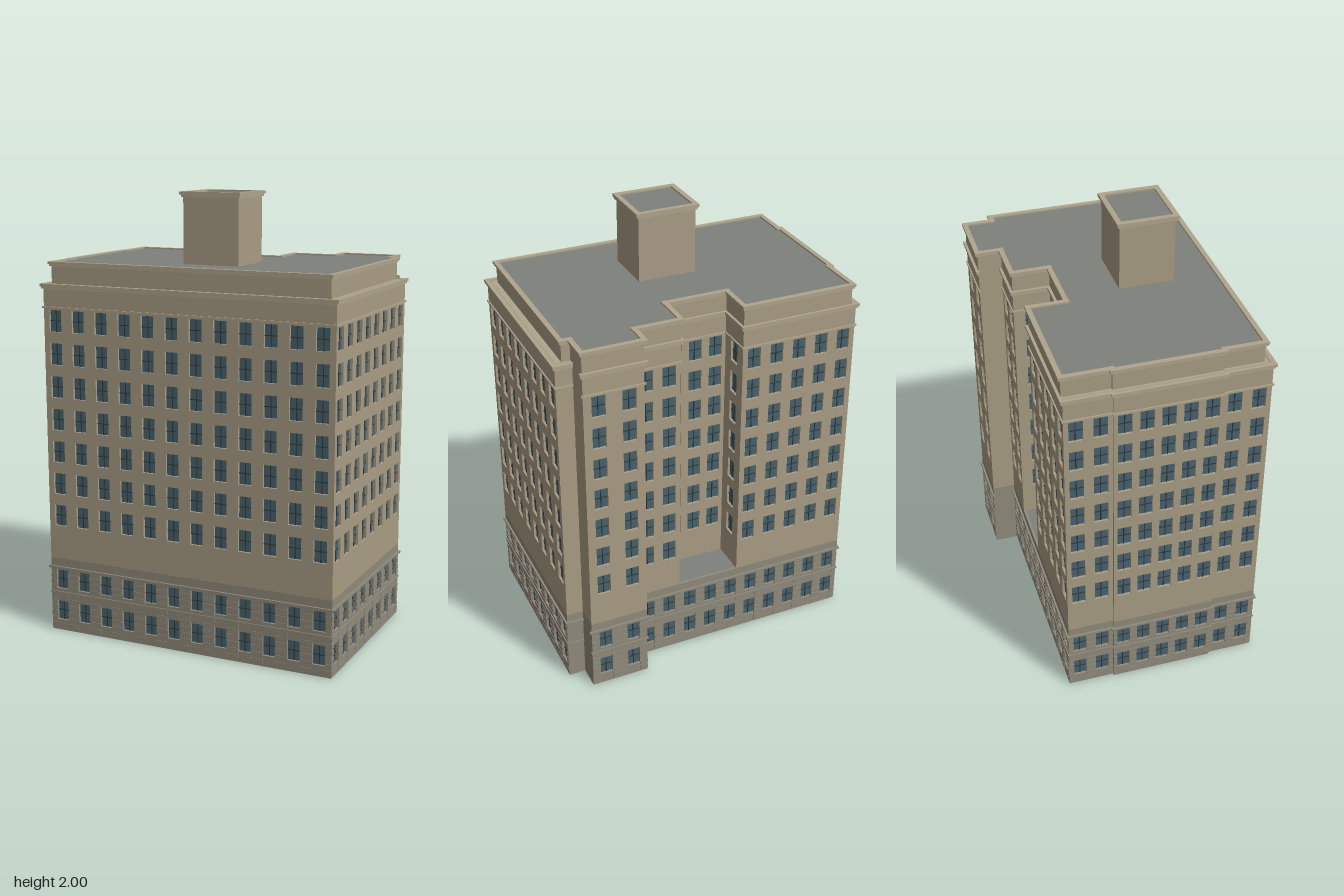
import * as THREE from 'three';
import { mergeGeometries } from 'three/addons/utils/BufferGeometryUtils.js';

const WALL = 0xa99d85, BASE = 0x918b7c, TRIM = 0xb0a58d, ROOF = 0x7d817b, GLASS = 0x48626e, FRAME = 0x2f3a3e;
const DEPTH = 0.012; // wall panel thickness, also the window recess

// Plans: [x, z, window columns on the wall that starts here, has middle cornices]
const backWall = [
  [0.405, -0.70, 2, 1], [0.20, -0.70, 0, 0], [0.20, -0.71, 5, 1],
  [-0.26, -0.71, 0, 0], [-0.26, -0.70, 2, 1], [-0.468, -0.70, 12, 1],
];
const frontAndStairBay = [
  [-0.468, 0.675, 8, 1], [0.405, 0.675, 0, 1], [0.405, 0.60, 0, 0],
  [0.51, 0.60, 2, 1], [0.51, 0.335, 0, 0],
];
const basePlan = [...frontAndStairBay, [0.405, 0.335, 10, 1], ...backWall];
const lightWell = [
  [0.405, 0.335, 2, 1], [0.405, 0.128, 1, 1], [0.24, 0.128, 3, 1], [0.24, -0.16, 1, 1], [0.405, -0.16, 5, 1],
];
const towerPlan = [...frontAndStairBay, ...lightWell, ...backWall];
// The attic storey steps back at the front, left and rear
const atticPlan = [
  [-0.437, 0.638], [0.385, 0.638], [0.385, 0.60], [0.51, 0.60], [0.51, 0.335],
  ...lightWell, [0.405, -0.675], [0.20, -0.675], [0.20, -0.685], [-0.26, -0.685], [-0.26, -0.675], [-0.437, -0.675],
];
const penthousePlan = [[-0.241, 0.14], [0.001, 0.14], [0.001, -0.123], [-0.241, -0.123]];

const upperRows = Array.from({ length: 7 }, (_, i) => [0.50 + i * 0.148, 0.097]);
const baseRows = [[0.05, 0.09], [0.20, 0.09]];

export function createModel() {
  const model = new THREE.Group();
  const parts = new Map();

  function add(name, color, geometry, matrix) {
    const g = geometry.index ? geometry.toNonIndexed() : geometry;
    if (matrix) g.applyMatrix4(matrix);
    if (!parts.has(name)) parts.set(name, { color, list: [] });
    parts.get(name).list.push(g);
  }

  // Box given by its ranges
  function box(x0, x1, y0, y1, z0, z1) {
    return new THREE.BoxGeometry(x1 - x0, y1 - y0, z1 - z0)
      .translate((x0 + x1) / 2, (y0 + y1) / 2, (z0 + z1) / 2);
  }

  // Calls fn for each wall: local x runs along it, local z points outwards
  function eachWall(plan, fn) {
    plan.forEach((p, i) => {
      const q = plan[(i + 1) % plan.length];
      const dx = q[0] - p[0], dz = q[1] - p[1];
      const m = new THREE.Matrix4().makeRotationY(Math.atan2(-dz, dx)).setPosition(p[0], 0, p[1]);
      fn(Math.hypot(dx, dz), m, p[2] || 0, p[3]);
    });
  }

  // Wall panels with window openings, glass and glazing bars
  function walls(name, color, plan, y0, y1, rows, winWidth) {
    eachWall(plan, (len, m, columns) => {
      const shape = new THREE.Shape([[0, y0], [len, y0], [len, y1], [0, y1]].map(a => new THREE.Vector2(...a)));
      for (let c = 0; c < (rows.length ? columns : 0); c++) {
        const x = (c + 0.5) * len / columns, a = x - winWidth / 2, b = x + winWidth / 2;
        for (const [y, h] of rows) {
          shape.holes.push(new THREE.Path([[a, y], [a, y + h], [b, y + h], [b, y]].map(v => new THREE.Vector2(...v))));
          add(name + 'Glass', GLASS, new THREE.PlaneGeometry(winWidth, h).translate(x, y + h / 2, -DEPTH + 0.001), m);
          add(name + 'GlazingBars', FRAME, box(x - 0.002, x + 0.002, y, y + h, -DEPTH, -DEPTH + 0.004), m);
          add(name + 'GlazingBars', FRAME, box(a, b, y + h / 2 - 0.002, y + h / 2 + 0.002, -DEPTH, -DEPTH + 0.004), m);
        }
      }
      const panel = new THREE.ExtrudeGeometry(shape, { depth: DEPTH, bevelEnabled: false });
      add(name, color, panel.translate(0, 0, -DEPTH), m);
    });
  }

  // Moulding that runs along the walls
  function band(name, plan, y0, y1, out, { inset = 0.004, all = false, color = TRIM } = {}) {
    eachWall(plan, (len, m, columns, corniced) => {
      if (all || corniced) add(name, color, box(-out, len + out, y0, y1, -inset, out), m);
    });
  }

  // Flat deck filling a plan
  function deck(name, color, plan, y, down = false) {
    const s = down ? 1 : -1;
    const shape = new THREE.Shape(plan.map(([x, z]) => new THREE.Vector2(x, s * z)));
    add(name, color, new THREE.ShapeGeometry(shape).rotateX(s * Math.PI / 2).translate(0, y, 0));
  }

  // Stone base with coursed blocks on the piers
  walls('stoneBase', BASE, basePlan, 0, 0.345, baseRows, 0.058);
  deck('underside', BASE, basePlan, 0, true);
  deck('lightWellFloor', ROOF, basePlan, 0.345);
  band('baseCornice', basePlan, 0.297, 0.307, 0.009, { color: BASE });
  band('baseSillBand', basePlan, 0.178, 0.186, 0.005, { color: BASE });
  eachWall(basePlan, (len, m, columns) => {
    for (let c = 0; c <= columns && columns; c++) {
      const a = c ? (c - 0.5) * len / columns + 0.029 : 0;
      const b = c < columns ? (c + 0.5) * len / columns - 0.029 : len;
      for (let y = 0.01; y < 0.28; y += 0.03) add('stoneCourses', BASE, box(a, b, y, y + 0.022, -0.004, 0.002), m);
    }
  });

  // Main shaft
  walls('shaftWalls', WALL, towerPlan, 0.345, 1.6, upperRows, 0.06);
  deck('shaftLedge', TRIM, towerPlan, 1.597);
  band('upperStringCourse', towerPlan, 1.492, 1.5, 0.006);
  band('mainCornice', towerPlan, 1.578, 1.588, 0.007);
  band('mainCornice', towerPlan, 1.588, 1.6, 0.012);

  // Attic storey and roof
  walls('atticWalls', WALL, atticPlan, 1.595, 1.685, [], 0);
  band('atticCornice', atticPlan, 1.675, 1.684, 0.007, { all: true });
  band('atticCornice', atticPlan, 1.684, 1.695, 0.012, { inset: 0.01, all: true });
  deck('mainRoof', ROOF, atticPlan, 1.688);

  // Rooftop penthouse
  walls('penthouseWalls', WALL, penthousePlan, 1.685, 1.99, [], 0);
  band('penthouseCornice', penthousePlan, 1.976, 1.987, 0.007, { all: true });
  band('penthouseCornice', penthousePlan, 1.987, 2.0, 0.013, { inset: 0.01, all: true });
  deck('penthouseRoof', ROOF, penthousePlan, 1.993);

  for (const [name, { color, list }] of parts) {
    const mesh = new THREE.Mesh(mergeGeometries(list), new THREE.MeshStandardMaterial({ color }));
    mesh.name = name;
    model.add(mesh);
  }

  // The building stands at an angle to the axes
  model.rotation.y = THREE.MathUtils.degToRad(20);
  model.name = 'officeBuilding';
  const root = new THREE.Group();
  root.name = 'building';
  root.add(model);
  return root;
}
